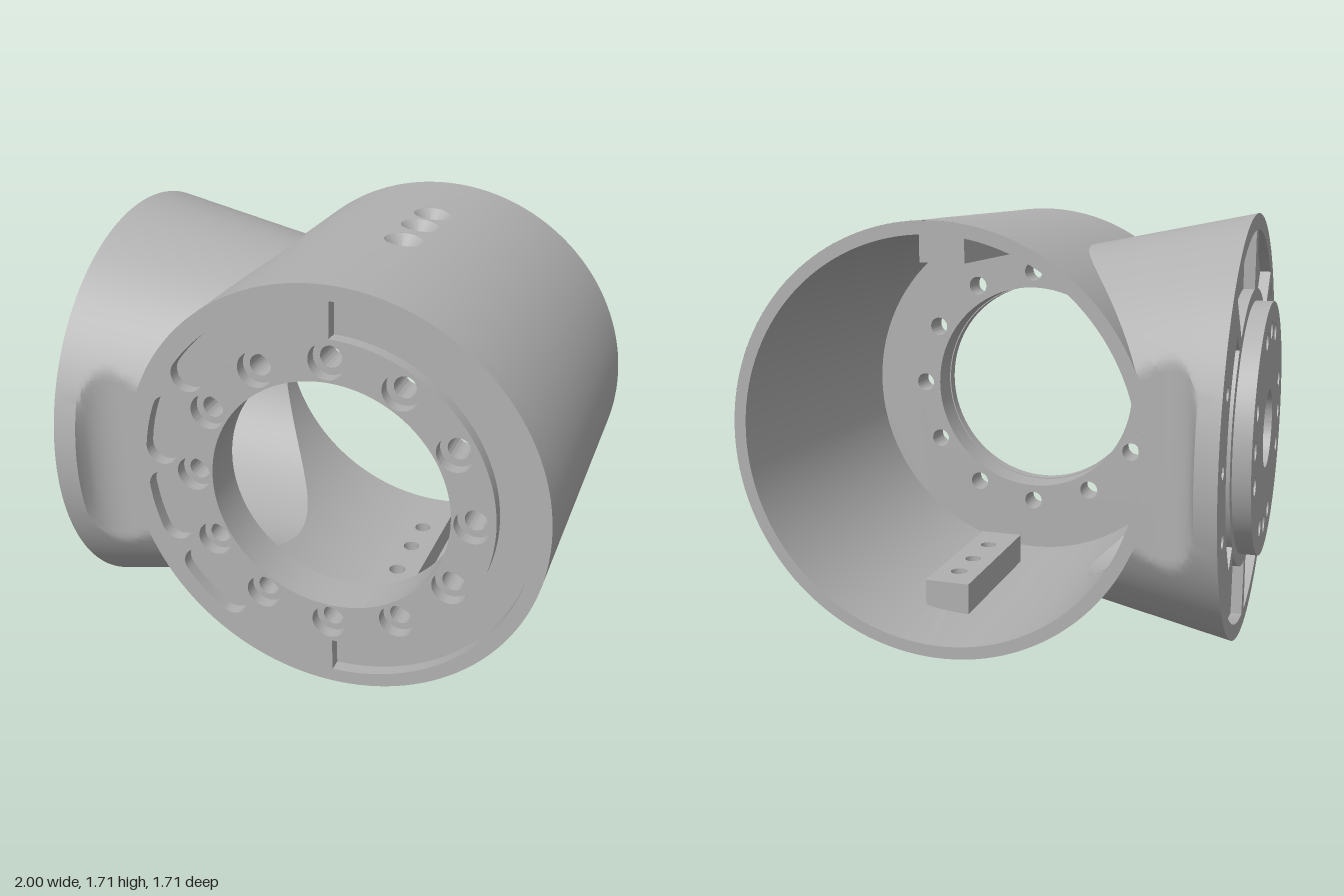
import * as THREE from 'three';
import { toCreasedNormals } from 'three/addons/utils/BufferGeometryUtils.js';

const CX = 0.16, CY = 0.855;            // tube axis
const R_OUT = 0.84, R_IN = 0.79;        // tube wall
const PORT = 0.66;                      // radius of the side opening
const Z_BACK = -0.72, Z_FRONT = 0.67, Z_FACE = 0.72;
const FLANGE_X = -0.93;
const { sin, cos, sqrt, asin, acos, PI } = Math;
const lerp = THREE.MathUtils.lerp;

// Surface from a rule: fn(i, j) gives a point for i = 0..nu, j = 0..nv
function grid(nu, nv, fn) {
  const pos = [], idx = [];
  for (let i = 0; i <= nu; i++) for (let j = 0; j <= nv; j++) pos.push(...fn(i, j));
  for (let i = 0; i < nu; i++) for (let j = 0; j < nv; j++) {
    const a = i * (nv + 1) + j, b = a + nv + 1;
    idx.push(a, b, a + 1, b, b + 1, a + 1);
  }
  const g = new THREE.BufferGeometry();
  g.setAttribute('position', new THREE.Float32BufferAttribute(pos, 3));
  g.setIndex(idx);
  return toCreasedNormals(g, 0.5);
}

function circle(u, v, r, Kind = THREE.Path) {
  return new Kind().absarc(u, v, r, 0, PI * 2, false);
}

// Annular sector between two radii
function sector(r0, r1, a0, a1) {
  const p = new THREE.Path();
  p.absarc(0, 0, r1, a0, a1, false);
  p.absarc(0, 0, r0, a1, a0, true);
  p.closePath();
  return p;
}

// Curved slot with round ends
function slot(r, half, a0, a1) {
  const p = new THREE.Path();
  p.absarc(0, 0, r + half, a0, a1, false);
  p.absarc(r * cos(a1), r * sin(a1), half, a1, a1 + PI, false);
  p.absarc(0, 0, r - half, a1, a0, true);
  p.absarc(r * cos(a0), r * sin(a0), half, a0 + PI, a0 + 2 * PI, false);
  return p;
}

function plate(shape, holes, from, to, segs = 32) {
  shape.holes.push(...holes);
  const g = new THREE.ExtrudeGeometry(shape, { depth: to - from, bevelEnabled: false, curveSegments: segs });
  return toCreasedNormals(g.translate(0, 0, from), 0.5);
}

export function createModel() {
  const model = new THREE.Group();
  const grey = new THREE.MeshStandardMaterial({ color: 0xb0b0b0, side: THREE.DoubleSide });
  grey.name = 'plain grey';
  const add = (name, geo, x = 0) => {
    const m = new THREE.Mesh(geo, grey);
    m.name = name;
    m.position.set(x, CY, 0);
    model.add(m);
  };

  // Tube walls, open to the side port, with gaps for the two drilled strips
  const STRIP0 = 0, STRIP1 = 0.17;
  for (const [name, R] of [['outerWall', R_OUT], ['innerWall', R_IN]]) {
    const a = asin(PORT / R), t1 = acos(STRIP1 / R), t2 = acos(STRIP0 / R);
    add(name, grid(64, 1, (i, j) => {
      const t = lerp(-t1, t1, i / 64);
      return [R * cos(t), R * sin(t), j ? Z_FRONT : Z_BACK];
    }), CX);
    for (const s of [1, -1]) {
      add(name, grid(16, 1, (i, j) => {
        const t = lerp(t2, PI - a, i / 16);
        return [R * cos(t), s * R * sin(t), j ? Z_FRONT : Z_BACK];
      }), CX);
      // Strip beside the port, edged by its saddle curve
      add(name, grid(64, 1, (i, j) => {
        const psi = lerp(-PI / 2, PI / 2, i / 64), y = PORT * sin(psi);
        const end = s > 0 ? Z_FRONT : Z_BACK;
        return [-sqrt(R * R - y * y), y, j ? end : s * PORT * cos(psi)];
      }), CX);
    }
  }
  add('backRim', new THREE.RingGeometry(R_IN, R_OUT, 128).rotateY(PI).translate(0, 0, Z_BACK), CX);

  // Drilled strips, countersinks and inner rails at top and bottom
  const holeU = 0.085, holeZ = [-0.24, -0.07, 0.13], BORE = 0.035, SINK = 0.075;
  for (const s of [1, -1]) {
    const turn = g => g.rotateX(-s * PI / 2);
    const drill = r => holeZ.map(z => circle(holeU, -s * z, r));
    const box = (u0, u1, z0, z1) => {
      const pts = [];
      for (let i = 0; i <= 10; i++) pts.push(new THREE.Vector2(lerp(u0, u1, i / 10), -s * z0));
      for (let i = 10; i >= 0; i--) pts.push(new THREE.Vector2(lerp(u0, u1, i / 10), -s * z1));
      return new THREE.Shape(pts);
    };
    for (const [R, r] of [[R_OUT, SINK], [R_IN, BORE]]) {
      const shape = box(STRIP0, STRIP1, Z_BACK, Z_FRONT);
      shape.holes.push(...drill(r));
      const g = new THREE.ShapeGeometry(shape, 16), p = g.attributes.position;
      for (let i = 0; i < p.count; i++) p.setZ(i, sqrt(R * R - p.getX(i) ** 2));
      g.computeVertexNormals();
      add('drilledStrip', turn(g), CX);
    }
    for (const z of holeZ) {
      add('countersink', turn(grid(32, 1, (i, j) => {
        const t = -i / 32 * PI * 2, r = j ? BORE : SINK, u = holeU + r * cos(t);
        return [u, -s * z + r * sin(t), j ? 0.795 : sqrt(R_OUT ** 2 - u * u)];
      })), CX);
    }
    add('innerRail', turn(plate(box(-0.01, 0.18, -0.38, 0.31), drill(BORE), 0.66, 0.795, 16)), CX);
  }

  // Front plate: recessed face layer over a thinner-bored backing layer
  const bolts = r => Array.from({ length: 12 }, (_, k) =>
    circle(0.555 * cos(k * PI / 6), 0.555 * sin(k * PI / 6), r));
  const deg = PI / 180;
  const slots = [[127.5, 143.5], [159, 173], [187, 201], [216.5, 232.5]]
    .map(([a, b]) => slot(0.695, 0.066, a * deg, b * deg));
  add('frontFace', plate(circle(0, 0, R_OUT, THREE.Shape),
    [circle(0, 0, 0.475), ...bolts(0.07), ...slots, sector(0.642, 0.782, -89 * deg, 89 * deg)],
    Z_FRONT, Z_FACE, 64), CX);
  add('frontBacking', plate(circle(0, 0, 0.815, THREE.Shape),
    [circle(0, 0, 0.48), ...bolts(0.042)], 0.54, Z_FRONT, 64), CX);

  // Conical neck from the side flange to the tube, trimmed flat front and back
  const neckR = x => 0.853 - 0.2 * (x - FLANGE_X);
  const halfWidth = x => {
    if (x < -0.844) return 1;
    const k = 1 - Math.min(1, (x + 0.845) / 0.145);
    return 0.72 + 0.115 * (1 - sqrt(1 - k * k));
  };
  const N = 192;
  add('neck', grid(N, 22, (i, j) => {
    const t = i / N * PI * 2;
    let end = -0.5;
    for (let n = 0; n < 30; n++) end = CX - sqrt(0.835 ** 2 - (neckR(end) * sin(t)) ** 2);
    let x = FLANGE_X;
    if (j >= 2) x = j <= 12 ? lerp(-0.845, -0.70, (j - 2) / 10) : lerp(-0.70, end, (j - 12) / 10);
    const r = j ? neckR(x) : 0.835, w = halfWidth(x);
    return [x, r * sin(t), THREE.MathUtils.clamp(r * cos(t), -w, w)];
  }));
  add('portLining', grid(96, 1, (i, j) => {
    const t = -i / 96 * PI * 2, y = PORT * sin(t);
    return [j ? CX - sqrt(R_IN * R_IN - y * y) : -0.855, y, PORT * cos(t)];
  }));

  // Side flange: u runs along z, extrusion runs along -x
  const side = g => g.rotateY(-PI / 2);
  const ring = (r, hr, angles) => angles.map(a => circle(r * cos(a * deg), r * sin(a * deg), hr));
  const hubHoles = () => [circle(0, 0, 0.157),
    ...ring(0.40, 0.036, [0, 90, 180, 270].flatMap(a => [a - 21, a, a + 21]))];
  const edgeHoles = () => ring(0.74, 0.027, [159, 180, 201]);
  const pockets = [sector(0.56, 0.66, 138 * deg, 222 * deg)];
  for (const a of [-135, -90, -45, 0, 45, 90]) {
    pockets.push(sector(0.56, 0.79, (a + 2.5) * deg, (a + 42.5) * deg));
  }
  add('flangeFace', side(plate(circle(0, 0, 0.84, THREE.Shape),
    [...hubHoles(), ...edgeHoles(), ...pockets], 0.885, 0.93, 64)));
  add('flangeBacking', side(plate(circle(0, 0, 0.83, THREE.Shape),
    [...hubHoles(), ...edgeHoles()], 0.85, 0.885, 64)));
  add('flangeHub', side(plate(circle(0, 0, 0.51, THREE.Shape), hubHoles(), 0.93, 1, 64)));

  return model;
}
